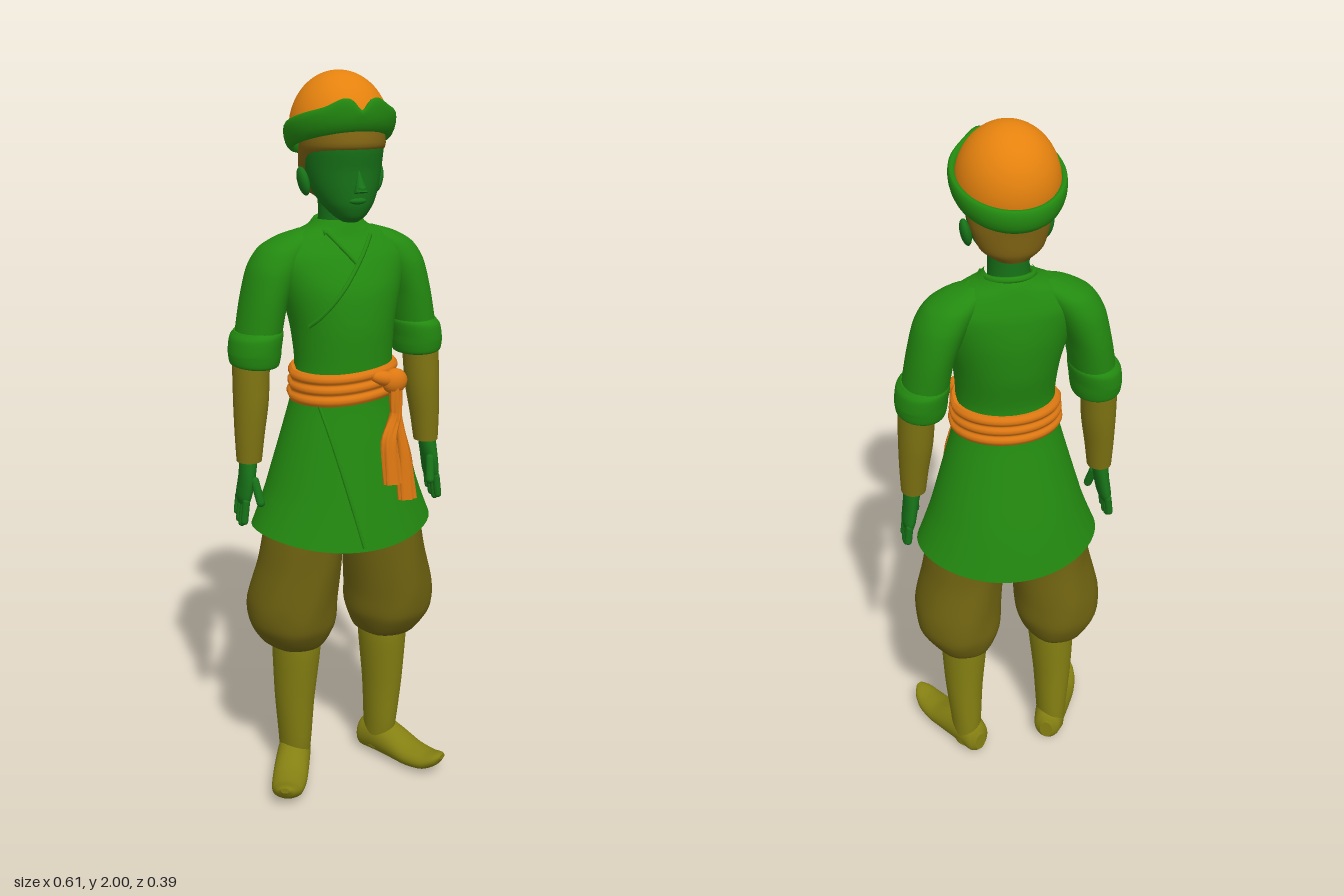
import * as THREE from 'three';

const mat = (name, color) => Object.assign(new THREE.MeshStandardMaterial({ color }), { name });
const V = (x, y, z) => new THREE.Vector3(x, y, z);

// Closed surface through a list of point rings
function skin(rings, { caps = true, loop = false } = {}) {
  const n = rings[0].length, m = rings.length, pos = [], idx = [];
  rings.forEach(r => r.forEach(p => pos.push(p.x, p.y, p.z)));
  for (let i = 0; i < (loop ? m : m - 1); i++) for (let j = 0; j < n; j++) {
    const k = (i + 1) % m, l = (j + 1) % n;
    const a = i * n + j, b = k * n + j, c = k * n + l, d = i * n + l;
    idx.push(a, b, c, a, c, d);
  }
  if (caps && !loop) [0, m - 1].forEach(e => {
    const base = pos.length / 3, mid = V(0, 0, 0);
    rings[e].forEach(p => { pos.push(p.x, p.y, p.z); mid.addScaledVector(p, 1 / n); });
    pos.push(mid.x, mid.y, mid.z);
    for (let j = 0; j < n; j++) {
      const l = (j + 1) % n;
      e ? idx.push(base + n, base + l, base + j) : idx.push(base + n, base + j, base + l);
    }
  });
  const g = new THREE.BufferGeometry();
  g.setAttribute('position', new THREE.Float32BufferAttribute(pos, 3));
  g.setIndex(idx);
  g.computeVertexNormals();
  return g;
}

// Smooth interpolation of cross-sections [y, centreX, centreZ, radiusX, radiusZ]
function sections(rows, steps) {
  const c = new THREE.CatmullRomCurve3(rows.map(r => V(r[1], r[0], r[2])), false, 'catmullrom', 0.4);
  const s = new THREE.CatmullRomCurve3(rows.map(r => V(r[3], r[4], 0)), false, 'catmullrom', 0.4);
  return Array.from({ length: steps + 1 }, (_, i) => [c.getPoint(i / steps), s.getPoint(i / steps)]);
}
function loft(rows, { n = 32, per = 5, fold = 0, k = 9, caps = true, rule = null } = {}) {
  return skin(sections(rows, (rows.length - 1) * per).map(([c, s], i) => Array.from({ length: n }, (_, j) => {
    const a = j / n * Math.PI * 2, f = 1 + fold * Math.sin(k * a + i * 0.35);
    const p = V(c.x + s.x * f * Math.cos(a), c.y, c.z + s.y * f * Math.sin(a));
    if (rule) rule(p);
    return p;
  })), { caps });
}

const TUNIC = [[0.755, 0, 0, 0.257, 0.196], [0.9, 0, 0.002, 0.215, 0.172], [1.05, 0, 0.008, 0.172, 0.143],
  [1.16, 0, 0.012, 0.143, 0.122], [1.25, 0, 0.016, 0.134, 0.119], [1.35, 0, 0.007, 0.143, 0.131],
  [1.45, 0, -0.004, 0.168, 0.129], [1.53, 0, -0.018, 0.185, 0.108], [1.58, 0, -0.025, 0.14, 0.083],
  [1.605, 0, -0.025, 0.085, 0.072], [1.625, 0, -0.022, 0.062, 0.06]];
const tunicSamples = sections(TUNIC, 300);
// Point on the front of the tunic
function onTunic(x, y, out = 0) {
  const [c, s] = tunicSamples.reduce((b, q) => Math.abs(q[0].y - y) < Math.abs(b[0].y - y) ? q : b);
  return V(x, y, c.z + s.y * Math.sqrt(Math.max(0, 1 - (x / s.x) ** 2)) + out);
}
// Hem rises towards the sides
const hemRule = p => { if (p.y < 0.9) p.y += 0.035 * (0.9 - p.y) / 0.145 * (p.x / 0.257) ** 2; };

export function createModel() {
  const tunicGreen = mat('tunic green', 0x238a10), skinGreen = mat('skin green', 0x177318);
  const hatOrange = mat('hat orange', 0xe5820e), sashOrange = mat('sash orange', 0xde7812);
  const bootOlive = mat('boot olive', 0x858012), trouserOlive = mat('trouser olive', 0x6d6110);
  const bracerOlive = mat('bracer olive', 0x7f7412), hairBrown = mat('hair brown', 0x7f6212);
  const lining = mat('tunic lining', 0x238a10);
  lining.side = THREE.DoubleSide;

  const model = new THREE.Group();
  model.name = 'figure';
  const add = (name, geo, material, parent = model) => {
    const m = new THREE.Mesh(geo, material);
    m.name = name;
    parent.add(m);
    return m;
  };
  const ball = (name, material, p, s, parent) => {
    const m = add(name, new THREE.SphereGeometry(1, 20, 14), material, parent);
    m.position.set(...p);
    m.scale.set(...s);
    return m;
  };
  const tube = (name, pts, r, material) =>
    add(name, new THREE.TubeGeometry(new THREE.CatmullRomCurve3(pts), 40, r, 6), material);

  // Tunic with open skirt, lining, and wrapped front edges
  add('tunic', loft(TUNIC, { n: 56, caps: false, rule: hemRule }), tunicGreen);
  add('skirtLining', loft([[0.95, 0, 0, 0.18, 0.14], [0.85, 0, 0, 0.215, 0.165], [0.755, 0, 0, 0.257, 0.196]],
    { n: 56, rule: hemRule, caps: false }), lining);
  const edge = (name, x0, y0, x1, y1, r) => tube(name, Array.from({ length: 14 }, (_, i) => {
    const t = i / 13;
    return onTunic(x0 + (x1 - x0) * t, y0 + (y1 - y0) * t, -0.001);
  }), r, tunicGreen);
  edge('lapelEdge', 0.065, 1.585, -0.12, 1.36, 0.006);
  edge('innerLapelEdge', -0.055, 1.595, 0.005, 1.52, 0.006);
  edge('skirtOverlap', -0.105, 1.16, -0.01, 0.765, 0.005);
  const collar = Array.from({ length: 13 }, (_, i) => {
    const a = Math.PI * (i / 12);
    return V(0.064 * Math.cos(a), 1.61 + 0.012 * Math.sin(a), -0.02 - 0.062 * Math.sin(a));
  });
  tube('collar', [onTunic(0.055, 1.59), ...collar, onTunic(-0.055, 1.59)], 0.009, tunicGreen);

  // Wrapped sash, knot and hanging tails
  const sash = [];
  for (let i = 0; i <= 9; i++) {
    const b = i % 3 === 0 ? 0 : 0.006, t = i / 9;
    sash.push([1.155 + 0.085 * t, 0, 0.014, 0.15 - 0.007 * t + b, 0.128 - 0.003 * t + b]);
  }
  add('sash', loft(sash, { n: 48, per: 3, rule: p => { p.y += 0.008 * Math.sin(p.x * 12) * (p.z > 0 ? 1 : 0); } }), sashOrange);
  ball('sashKnot', sashOrange, [0.1, 1.205, 0.132], [0.036, 0.034, 0.026]).rotation.z = 0.4;
  ball('knotLoop', sashOrange, [0.07, 1.215, 0.133], [0.042, 0.02, 0.02]).rotation.z = -0.25;
  const tail = (name, bottom, x, w, z) => add(name, loft([[bottom, x, z, w, 0.011],
    [bottom + 0.12, x - 0.008, z - 0.012, w * 0.85, 0.014], [1.12, 0.1, 0.143, w * 0.6, 0.014],
    [1.21, 0.1, 0.138, 0.016, 0.014]], { n: 24, fold: 0.18, k: 6 }), sashOrange);
  tail('longSashTail', 0.88, 0.126, 0.024, 0.168);
  tail('shortSashTail', 0.93, 0.082, 0.025, 0.172);

  // Head, neck and face
  const head = new THREE.Group();
  head.name = 'head';
  model.add(head);
  add('neck', loft([[1.53, 0, -0.02, 0.07, 0.065], [1.6, 0, -0.02, 0.055, 0.058], [1.66, 0, -0.018, 0.053, 0.06],
    [1.73, 0, -0.02, 0.06, 0.06]]), skinGreen, head);
  add('face', loft([[1.625, 0, 0.062, 0.02, 0.025], [1.64, 0, 0.058, 0.042, 0.046], [1.67, 0, 0.04, 0.068, 0.076],
    [1.71, 0, 0.02, 0.088, 0.1], [1.76, 0, 0.012, 0.099, 0.11], [1.82, 0, 0.01, 0.104, 0.12],
    [1.88, 0, 0.0, 0.098, 0.11]]), skinGreen, head);
  const nose = add('nose', new THREE.ConeGeometry(0.018, 0.06, 12), skinGreen, head);
  nose.position.set(0, 1.735, 0.127);
  nose.rotation.x = -0.25;
  ball('noseTip', skinGreen, [0, 1.716, 0.135], [0.013, 0.011, 0.015], head);
  ball('lips', skinGreen, [0, 1.683, 0.112], [0.024, 0.009, 0.012], head);
  add('hair', loft([[1.675, 0, -0.06, 0.045, 0.04], [1.7, 0, -0.05, 0.08, 0.062], [1.75, 0, -0.036, 0.1, 0.08],
    [1.79, 0, -0.012, 0.107, 0.108], [1.82, 0, 0.008, 0.11, 0.127], [1.88, 0, 0, 0.105, 0.12]]), hairBrown, head);

  // Hat dome and upturned notched brim, tilted back
  const dome = add('hatDome', new THREE.SphereGeometry(1, 40, 20, 0, Math.PI * 2, 0, Math.PI * 0.52), hatOrange, head);
  dome.scale.set(0.13, 0.15, 0.14);
  dome.geometry.rotateX(0);
  dome.rotation.x = -0.29;
  dome.position.set(0, 1.851, -0.01);
  const brim = Array.from({ length: 96 }, (_, i) => {
    const t = i / 96 * Math.PI * 2, w = Math.atan2(Math.sin(t), Math.cos(t));
    const peak = 0.016 * Math.exp(-(((Math.abs(w) - 0.32) / 0.25) ** 2)) - 0.02 * Math.exp(-((w / 0.12) ** 2));
    return Array.from({ length: 14 }, (_, j) => {
      const a = j / 14 * Math.PI * 2, up = Math.sin(a);
      const r = 0.013 * Math.cos(a) + 0.006 * up;
      const z = -0.01 + (0.142 + r) * Math.cos(t);
      return V((0.13 + r) * Math.sin(t), 1.852 + 0.29 * z + 0.033 * up + (up > 0 ? peak * up : 0), z);
    });
  });
  add('hatBrim', skin(brim, { loop: true }), tunicGreen, head);

  // Paired parts: 1 is the left side, -1 the right
  for (const s of [1, -1]) {
    const side = s > 0 ? 'left' : 'right';
    const limb = (name, rows, material, opts) =>
      add(side + name, loft(rows.map(r => [r[0], r[1] * s, ...r.slice(2)]), opts), material);

    const ear = ball(side + 'Ear', skinGreen, [0.104 * s, 1.725, -0.002], [0.014, 0.038, 0.024], head);
    ear.rotation.set(-0.15, 0, -0.2 * s);

    // Sleeve, rolled cuff and bracer
    limb('Sleeve', [[1.26, 0.236, -0.03, 0.06, 0.074], [1.34, 0.222, -0.032, 0.061, 0.083], [1.42, 0.206, -0.034, 0.062, 0.089],
      [1.5, 0.178, -0.034, 0.07, 0.088], [1.55, 0.148, -0.034, 0.069, 0.076], [1.58, 0.115, -0.032, 0.052, 0.055],
      [1.598, 0.09, -0.03, 0.02, 0.025]], tunicGreen);
    limb('Cuff', [[1.243, 0.238, -0.028, 0.054, 0.068], [1.25, 0.238, -0.028, 0.065, 0.08], [1.285, 0.236, -0.029, 0.07, 0.088],
      [1.325, 0.23, -0.031, 0.07, 0.09], [1.342, 0.227, -0.032, 0.06, 0.08]], tunicGreen,
      { rule: p => { p.y += 0.1 * (Math.abs(p.x) - 0.235) * (p.y > 1.28 ? -1 : 0.4); } });
    limb('Bracer', [[0.985, 0.264, -0.01, 0.034, 0.037], [1.06, 0.26, -0.013, 0.04, 0.046],
      [1.15, 0.253, -0.018, 0.047, 0.055], [1.27, 0.248, -0.025, 0.05, 0.058]], bracerOlive);

    // Hand with fingers and thumb
    limb('Palm', [[0.868, 0.283, -0.012, 0.014, 0.034], [0.89, 0.281, -0.01, 0.019, 0.041], [0.94, 0.273, -0.006, 0.021, 0.039],
      [1.0, 0.265, -0.009, 0.025, 0.029]], skinGreen, { n: 20 });
    for (let f = 0; f < 4; f++) {
      const len = [0.055, 0.065, 0.06, 0.045][f];
      const finger = add(side + 'Finger', new THREE.CapsuleGeometry(0.0105, len, 4, 10), skinGreen);
      finger.position.set(0.288 * s, 0.878 - len / 2, 0.021 - f * 0.021);
      finger.rotation.z = 0.12 * s;
    }
    const thumb = add(side + 'Thumb', new THREE.CapsuleGeometry(0.012, 0.06, 4, 10), skinGreen);
    thumb.position.set(0.257 * s, 0.908, 0.037);
    thumb.rotation.set(-0.35, 0, -0.15 * s);

    // Baggy trouser leg
    limb('TrouserLeg', [[0.42, 0.135, -0.02, 0.06, 0.075], [0.44, 0.14, -0.018, 0.09, 0.11], [0.5, 0.147, -0.01, 0.121, 0.139],
      [0.57, 0.147, -0.003, 0.124, 0.139], [0.68, 0.128, 0.008, 0.116, 0.128], [0.78, 0.115, 0.011, 0.112, 0.123],
      [0.88, 0.1, 0.01, 0.1, 0.115]], trouserOlive, { n: 48, fold: 0.014, k: 6 });

    // Boot shaft and outward-turned foot with a curled toe
    limb('BootShaft', [[0.03, 0.135, -0.032, 0.04, 0.052], [0.12, 0.136, -0.025, 0.046, 0.063], [0.25, 0.138, -0.018, 0.056, 0.07],
      [0.4, 0.134, -0.011, 0.067, 0.082], [0.47, 0.134, -0.01, 0.068, 0.084]], bootOlive);
    const foot = add(side + 'Foot', loft([[-0.066, 0, -0.045, 0.02, 0.03], [-0.05, 0, -0.052, 0.04, 0.05],
      [0, 0, -0.062, 0.047, 0.06], [0.07, 0, -0.05, 0.05, 0.048], [0.13, 0, -0.037, 0.05, 0.035],
      [0.185, 0, -0.038, 0.044, 0.028], [0.222, 0, -0.053, 0.03, 0.02], [0.24, 0, -0.066, 0.012, 0.008]],
      { rule: p => { p.z = Math.min(p.z, 0); } }).rotateX(Math.PI / 2), bootOlive);
    foot.rotation.y = 0.47 * s;
    foot.position.set(0.135 * s, 0.002, -0.03);
  }
  return model;
}
